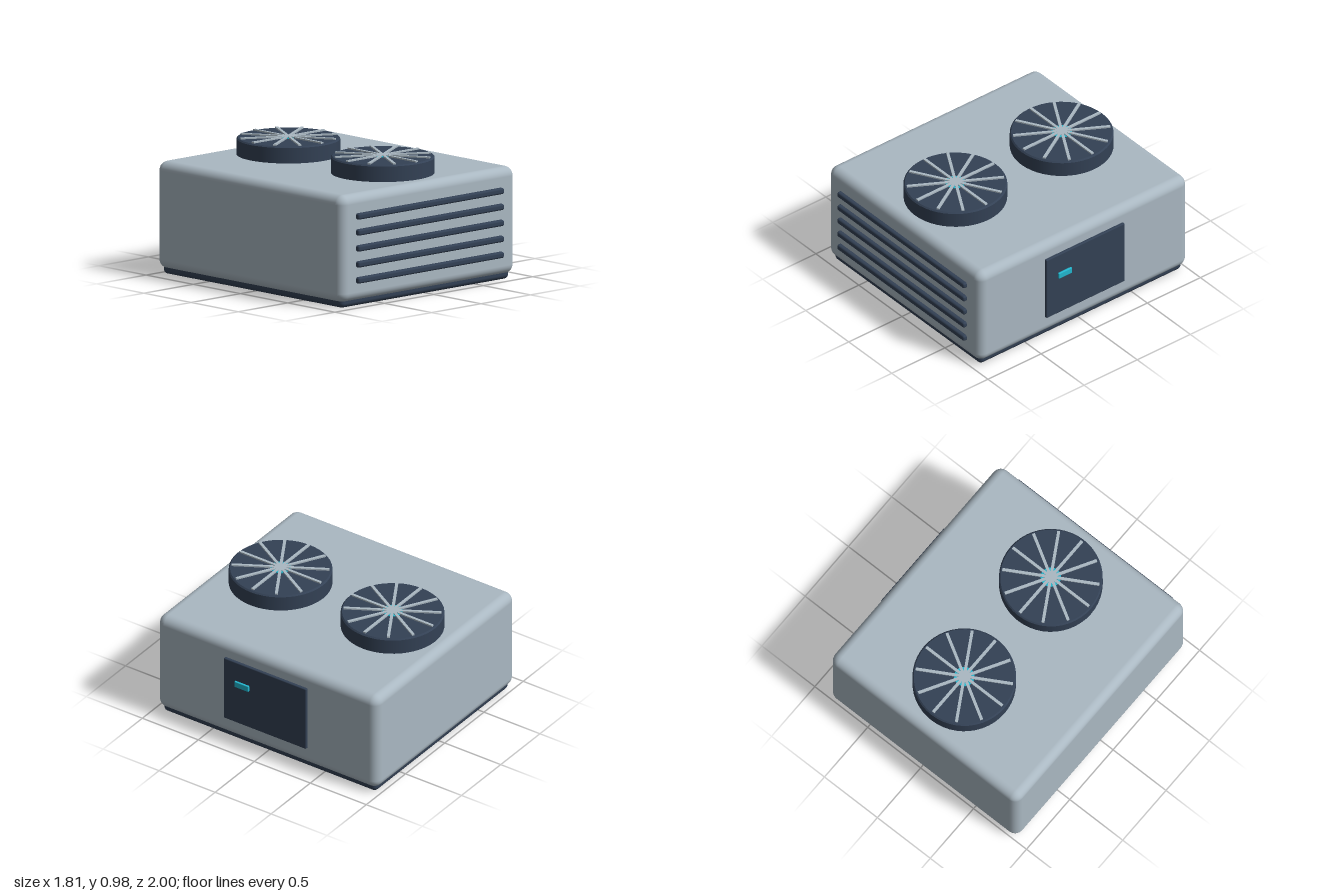
import * as THREE from 'three';
import { RoundedBoxGeometry } from 'three/addons/geometries/RoundedBoxGeometry.js';

const mat = (name, color) => {
  const m = new THREE.MeshStandardMaterial({ color });
  m.name = name;
  return m;
};

export function createModel() {
  const casing = mat('casing grey', 0xaab8c2);
  const dark = mat('dark slate', 0x334155);
  const teal = mat('teal accent', 0x22b8d0);
  const model = new THREE.Group();
  model.name = 'rooftopUnit';

  const add = (parent, name, geometry, material, x, y, z) => {
    const mesh = new THREE.Mesh(geometry, material);
    mesh.name = name;
    mesh.position.set(x, y, z);
    parent.add(mesh);
    return mesh;
  };
  const rounded = (w, h, d, r) => new RoundedBoxGeometry(w, h, d, 4, r);

  // Casing on a slightly smaller plinth
  add(model, 'casing', rounded(1.77, 0.8, 1.97, 0.07), casing, -0.02, 0.44, -0.015);
  add(model, 'plinth', rounded(1.704, 0.1, 1.904, 0.035), dark, -0.02, 0.05, -0.015);

  // Front intake slats
  for (let i = 0; i < 5; i++) {
    add(model, 'frontSlat', rounded(1.475, 0.046, 0.06, 0.015), dark, -0.02, 0.2 + i * 0.119, 0.97);
  }

  // Side access panel with indicator light
  add(model, 'accessPanel', rounded(0.04, 0.524, 0.736, 0.008), dark, 0.866, 0.45, -0.013);
  add(model, 'indicator', rounded(0.03, 0.048, 0.125, 0.005), teal, 0.886, 0.529, 0.187);

  // Fan housing: a drum with a small bevelled rim
  const drum = new THREE.CylinderGeometry(0.38, 0.38, 0.115, 48, 1, true);
  const bevel = new THREE.CylinderGeometry(0.37, 0.38, 0.01, 48, 1, true);
  const lid = new THREE.CircleGeometry(0.37, 48).rotateX(-Math.PI / 2);
  const hub = new THREE.CylinderGeometry(0.075, 0.075, 0.02, 32);
  const bar = new THREE.BoxGeometry(0.72, 0.018, 0.022);

  for (const z of [-0.52, 0.48]) {
    const fan = new THREE.Group();
    fan.name = 'fan';
    fan.position.set(-0.02, 0.84, z);
    model.add(fan);
    add(fan, 'fanDrum', drum, dark, 0, 0.0575, 0);
    add(fan, 'fanRim', bevel, dark, 0, 0.12, 0);
    add(fan, 'fanLid', lid, dark, 0, 0.125, 0);
    add(fan, 'fanHub', hub, teal, 0, 0.12, 0);
    // Six bars crossing the hub make twelve spokes
    for (let i = 0; i < 6; i++) {
      add(fan, 'grilleBar', bar, casing, 0, 0.127, 0).rotation.y = (i * Math.PI) / 6;
    }
  }
  return model;
}
